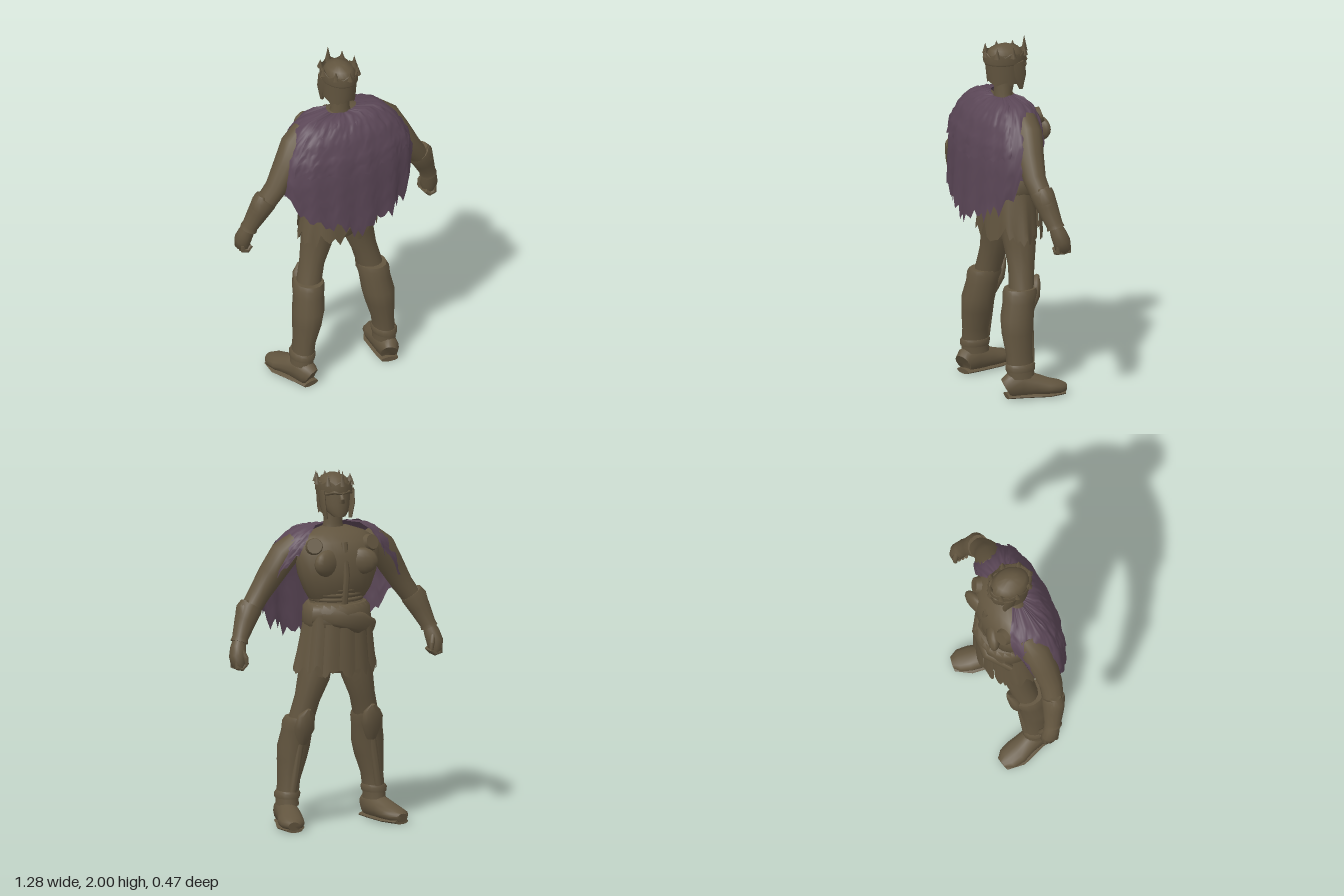
import * as THREE from 'three';
import { toCreasedNormals } from 'three/addons/utils/BufferGeometryUtils.js';

const V = (x, y, z) => new THREE.Vector3(x, y, z);
const bronze = new THREE.MeshStandardMaterial({ color: 0x62553f, side: THREE.DoubleSide });
bronze.name = 'bronze';
const purple = new THREE.MeshStandardMaterial({ color: 0x5a4656, side: THREE.DoubleSide });
purple.name = 'purple cloth';

// repeatable noise in -1..1
const noise = (n) => { const s = Math.sin(n * 127.1 + 3.7) * 43758.5453; return (s - Math.floor(s)) * 2 - 1; };

// piecewise linear lookup: table of [key, value, value...] with rising keys
function lookup(table, k) {
  let i = 0;
  while (i < table.length - 2 && k > table[i + 1][0]) i++;
  const a = table[i], b = table[i + 1];
  const t = THREE.MathUtils.clamp((k - a[0]) / (b[0] - a[0]), 0, 1);
  return a.slice(1).map((v, j) => v + (b[j + 1] - v) * t);
}

// surface through rows of points, closed into a tube or left open
function skin(rows, closed) {
  const n = rows[0].length, pos = [], idx = [];
  rows.forEach((r) => r.forEach((p) => pos.push(p.x, p.y, p.z)));
  for (let i = 0; i < rows.length - 1; i++) {
    for (let j = 0; j < (closed ? n : n - 1); j++) {
      const k = (j + 1) % n, a = i * n + j, b = i * n + k, c = a + n, d = b + n;
      idx.push(a, b, c, b, d, c);
    }
  }
  const g = new THREE.BufferGeometry();
  g.setAttribute('position', new THREE.Float32BufferAttribute(pos, 3));
  g.setIndex(idx);
  g.computeVertexNormals();
  return g;
}

// capped tube through sections [x, y, z, half width, half depth]
function limb(sections, { ref = V(0, 0, 1), n = 14, flat = false } = {}) {
  const c = sections.map((s) => V(s[0], s[1], s[2]));
  const rows = sections.map((s, i) => {
    const t = flat ? V(0, Math.sign(c[c.length - 1].y - c[0].y), 0)
      : c[Math.min(i + 1, c.length - 1)].clone().sub(c[Math.max(i - 1, 0)]).normalize();
    const v = ref.clone().addScaledVector(t, -ref.dot(t)).normalize();
    const u = v.clone().cross(t);
    return Array.from({ length: n }, (_, j) => {
      const a = (j / n) * Math.PI * 2;
      return c[i].clone().addScaledVector(u, Math.cos(a) * s[3]).addScaledVector(v, Math.sin(a) * s[4]);
    });
  });
  rows.unshift(rows[0].map(() => c[0].clone()));
  rows.push(rows[0].map(() => c[c.length - 1].clone()));
  return toCreasedNormals(skin(rows, true), 0.9);
}

// upright body of elliptical rings [y, half width, half depth, z]
const body = (rings, n = 20) => limb(rings.map(([y, rx, rz, z]) => [0, y, z, rx, rz]), { flat: true, n });

export function createModel() {
  const model = new THREE.Group();
  model.name = 'caped warrior';
  const add = (name, geo, mat = bronze, parent = model) => {
    const m = new THREE.Mesh(geo, mat);
    m.name = name;
    parent.add(m);
    return m;
  };

  // torso
  add('breastplate', body([[1.28, .165, .1, -.065], [1.33, .195, .125, -.07], [1.42, .23, .138, -.068],
    [1.53, .25, .135, -.068], [1.6, .23, .115, -.055], [1.64, .17, .085, -.04], [1.67, .08, .05, -.03]]));
  add('waist', body([[.86, .1, .08, -.04], [.95, .17, .11, -.04], [1.1, .165, .11, -.05], [1.3, .15, .095, -.06]]));
  for (let i = 0; i < 4; i++) {
    const rib = add('rib', new THREE.TorusGeometry(.145 + i * .006, .011, 6, 16, Math.PI));
    rib.rotation.x = -Math.PI / 2;
    rib.position.set(0, 1.25 + i * .028, -.05);
    rib.scale.y = .85;
  }
  add('breastbone', limb([[0, 1.24, -.17, .02, .015], [0, 1.42, -.205, .018, .015], [0, 1.6, -.17, .02, .015]]));
  for (const s of [-1, 1]) {
    const muscle = add('chestMuscle', new THREE.SphereGeometry(1, 14, 10));
    muscle.scale.set(.095, .075, .04);
    muscle.position.set(s * .1, 1.49, -.175);
    muscle.rotation.y = s * .35;
    const clasp = add('cloakClasp', new THREE.CylinderGeometry(.042, .05, .03, 14));
    clasp.rotation.set(-Math.PI / 2 + .35, 0, -s * .3);
    clasp.position.set(s * .17, 1.585, -.15);
  }

  // belt, kilt and hanging panels
  add('belt', body([[1.13, .185, .15, -.06], [1.15, .195, .165, -.06], [1.23, .19, .165, -.06], [1.255, .17, .145, -.06]], 24));
  const kiltRows = Array.from({ length: 7 }, (_, i) => Array.from({ length: 48 }, (_, j) => {
    const a = (j / 48) * Math.PI * 2, t = i / 6;
    const y = 1.19 - t * (.31 + .035 * noise(j) + (j % 6 === 0 ? -.05 : 0));
    const fold = 1 + .04 * t * Math.sin(a * 9);
    return V(Math.sin(a) * (.18 + .06 * t) * fold, y, -.05 + .015 * t + Math.cos(a) * .136 * fold);
  }));
  add('kilt', skin(kiltRows.reverse(), true));
  for (let p = -2; p <= 2; p++) {
    const rows = Array.from({ length: 6 }, (_, i) => Array.from({ length: 7 }, (_, j) => {
      const t = i / 5, a = p * .42 + (j / 6 - .5) * .4;
      const y = 1.2 - t * (.34 + .03 * noise(p * 7 + j) - Math.abs(p) * .02);
      const r = 1 + .03 * Math.sin(j / 6 * Math.PI);
      return V(Math.sin(a) * (.2 + .035 * t) * r, y, -.06 - Math.cos(a) * .155 * r);
    }));
    add('kiltPanel', skin(rows, false));
  }
  add('sash', limb([[.17, 1.2, -.13, .05, .02], [.06, 1.19, -.205, .055, .022], [-.08, 1.15, -.21, .06, .022],
    [-.19, 1.1, -.11, .05, .02]], { ref: V(0, 0, 1) }));

  // legs
  for (const s of [-1, 1]) {
    const leg = new THREE.Group();
    leg.name = s > 0 ? 'leftLeg' : 'rightLeg';
    model.add(leg);
    const part = (name, sec, o) => add(name, limb(sec.map(([x, ...r]) => [s * x, ...r]), o), bronze, leg);
    part('thigh', [[.105, .98, -.04, .095, .1], [.13, .84, -.05, .088, .092], [.165, .72, -.04, .07, .075], [.2, .58, -.02, .07, .07]]);
    part('greave', [[.2, .615, -.015, .08, .095], [.205, .59, -.01, .088, .1], [.21, .54, 0, .085, .092], [.222, .45, .018, .09, .095],
      [.232, .37, .022, .08, .09], [.25, .26, .02, .06, .078], [.26, .17, .018, .058, .08], [.262, .12, .015, .062, .08]], { flat: true });
    part('kneeGuard', [[.192, .67, -.128, .012, .008], [.197, .63, -.105, .05, .03], [.203, .56, -.085, .06, .04], [.21, .47, -.06, .03, .025]]);
    part('shinRidge', [[.212, .5, -.065, .022, .02], [.235, .35, -.06, .02, .018], [.258, .2, -.05, .022, .02]]);
    part('ankleCuff', [[.258, .2, .018, .062, .082], [.26, .185, .018, .07, .088], [.262, .16, .018, .066, .085]], { flat: true });
    part('foot', [[.25, .065, .1, .045, .055], [.257, .075, .085, .055, .07], [.265, .08, .02, .062, .078], [.282, .068, -.06, .066, .062],
      [.303, .054, -.13, .074, .047], [.318, .047, -.19, .066, .038], [.325, .04, -.228, .034, .025]], { ref: V(0, 1, 0) });
    part('sole', [[.25, .018, .1, .05, .014], [.265, .018, .02, .06, .014], [.303, .018, -.13, .078, .014], [.323, .018, -.222, .045, .014]], { ref: V(0, 1, 0) });
  }

  // arms
  for (const s of [-1, 1]) {
    const arm = new THREE.Group();
    arm.name = s > 0 ? 'leftArm' : 'rightArm';
    model.add(arm);
    const part = (name, sec, o) => add(name, limb(sec.map(([x, ...r]) => [s * x, ...r]), o), bronze, arm);
    part('upperArm', [[.22, 1.6, -.03, .06, .07], [.29, 1.53, -.01, .08, .085], [.36, 1.42, .01, .072, .078],
      [.43, 1.31, .02, .06, .065], [.5, 1.21, .005, .055, .058]]);
    part('bracer', [[.482, 1.25, .008, .066, .064], [.495, 1.23, .005, .07, .066], [.525, 1.17, -.008, .06, .06],
      [.565, 1.08, -.03, .044, .048], [.572, 1.06, -.034, .048, .052]]);
    part('bracerFlare', [[.515, 1.285, .012, .02, .03], [.52, 1.25, .008, .045, .05], [.53, 1.2, 0, .045, .055]]);
    part('hand', [[.568, 1.08, -.03, .034, .036], [.583, 1.03, -.045, .044, .046], [.594, .985, -.06, .046, .05],
      [.592, .94, -.07, .038, .045], [.585, .92, -.07, .022, .035]]);
    for (let f = 0; f < 4; f++) {
      part('finger', [[.612, .965, -.028 - f * .022, .012, .011], [.61, .93, -.03 - f * .022, .015, .013],
        [.58, .922, -.03 - f * .022, .014, .013], [.556, .945, -.032 - f * .022, .012, .011]], { n: 7 });
    }
    part('thumb', [[.575, 1.02, -.08, .016, .016], [.56, .98, -.1, .016, .016], [.555, .945, -.1, .012, .012]], { n: 8 });
  }

  // head
  const head = new THREE.Group();
  head.name = 'head';
  model.add(head);
  add('neck', limb([[0, 1.62, -.02, .075, .06], [0, 1.69, -.015, .052, .052], [0, 1.8, -.03, .055, .06]]), bronze, head);
  add('skull', body([[1.735, .035, .03, -.105], [1.76, .06, .065, -.075], [1.8, .08, .098, -.04], [1.86, .086, .108, -.03],
    [1.91, .086, .108, -.025], [1.945, .066, .085, -.022], [1.965, .025, .035, -.02]]), bronze, head);
  add('nose', limb([[0, 1.87, -.13, .012, .012], [0, 1.835, -.148, .016, .016], [0, 1.815, -.14, .018, .012]], { n: 8 }), bronze, head);
  for (const s of [-1, 1]) {
    add('brow', limb([[0, 1.868, -.142, .012, .01], [s * .04, 1.876, -.132, .014, .012], [s * .08, 1.862, -.085, .01, .01]],
      { ref: V(0, 1, 0), n: 8 }), bronze, head);
    add('cheekGuard', limb([[s * .088, 1.88, -.06, .012, .04], [s * .086, 1.8, -.075, .012, .04],
      [s * .072, 1.72, -.09, .01, .012]], { n: 8 }), bronze, head);
  }
  // helmet wraps the back of the head, open at the face
  const helmet = Array.from({ length: 6 }, (_, i) => Array.from({ length: 25 }, (_, j) => {
    const a = (j / 24 - .5) * 3.9, t = i / 5;
    return V(Math.sin(a) * (.088 + .01 * t), 1.755 + .17 * t + (i ? 0 : .012 * noise(j)), -.028 + Math.cos(a) * (.102 + .02 * t));
  }));
  add('helmet', skin(helmet.reverse(), false), bronze, head);
  // crown band with points
  const band = [[1.865, .094, .118], [1.875, .099, .124], [1.925, .101, .125], [1.93, .097, .12]].map(([y, rx, rz]) =>
    Array.from({ length: 32 }, (_, j) => {
      const a = (j / 32) * Math.PI * 2;
      return V(Math.sin(a) * rx, y + (y > 1.9 ? .012 * Math.cos(a * 8) : 0), -.027 + Math.cos(a) * rz);
    }));
  add('crownBand', skin(band, true), bronze, head);
  for (let k = 0; k < 8; k++) {
    const a = (k / 8) * Math.PI * 2, h = k === 4 ? .09 : .06 + .012 * noise(k);
    const tip = add('crownPoint', new THREE.ConeGeometry(.019, h, 5), bronze, head);
    tip.position.set(Math.sin(a) * .098, 1.91 + h / 2, -.027 + Math.cos(a) * .121);
  }

  // cape: [y, half width, back depth, front depth]
  const drape = [[.9, .39, .235, .08], [1.2, .41, .222, .1], [1.36, .415, .215, .11], [1.47, .39, .2, .15],
    [1.58, .325, .165, .17], [1.65, .255, .115, .145], [1.69, .17, .05, .09], [1.695, .09, .03, .06]];
  // hem height by angle from the middle of the back, in degrees
  const hem = [[0, 1.0], [20, 1.06], [45, 1.12], [62, 1.19], [75, 1.29], [92, 1.37], [112, 1.4], [135, 1.54]];
  function cloth(spread, cols, hemAt, puff) {
    const rows = 15;
    return skin(Array.from({ length: rows }, (_, i) => Array.from({ length: cols }, (_, j) => {
      const deg = (j / (cols - 1) - .5) * 2 * spread, a = deg * Math.PI / 180, t = i / (rows - 1);
      const y = 1.695 - t * (1.695 - hemAt(Math.abs(deg), j));
      const [rx, back, front] = lookup(drape, y);
      const c = Math.cos(a), k = 1 + puff + t * (.02 * Math.sin(a * 15) + .012 * noise(j * 3 + i));
      const z = c > 0 ? back * Math.pow(c, .7) : -front * Math.pow(-c, .8);
      const dip = i === 0 ? -.02 * Math.max(c, 0) : .008 * noise(i * 31 + j);
      return V(Math.sin(a) * rx * k, y + dip, z * k);
    })), false);
  }
  add('cape', cloth(135, 75, (d, j) => lookup(hem, d)[0] + .03 * noise(j) - (j % 5 === 0 ? .03 : 0), 0), purple);
  add('capeMantle', cloth(62, 41, (d, j) => 1.365 + d * .0009 + .012 * noise(j + 50), .035), purple);
  return model;
}
